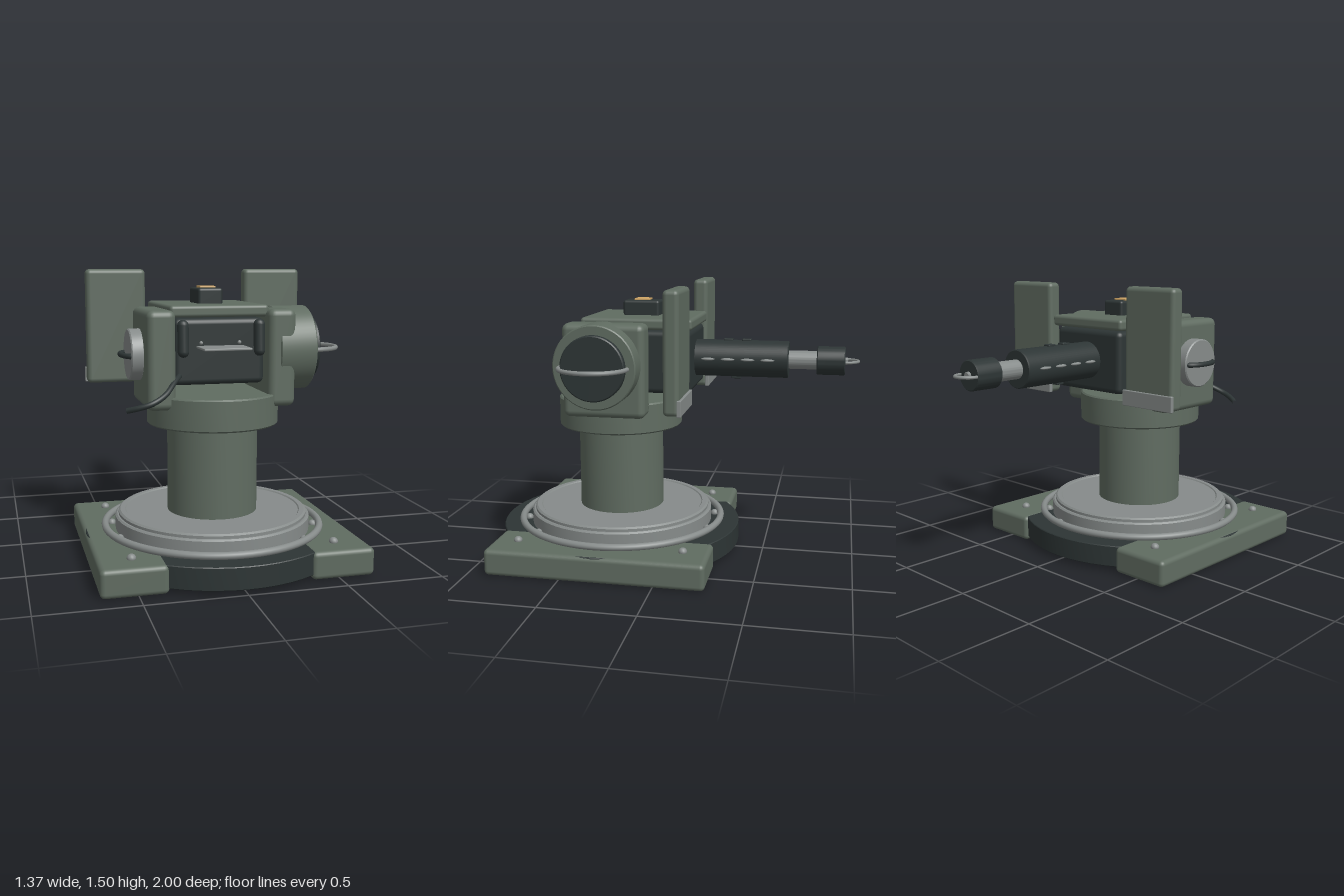
import * as THREE from 'three';
import { RoundedBoxGeometry } from 'three/addons/geometries/RoundedBoxGeometry.js';
import { toCreasedNormals } from 'three/addons/utils/BufferGeometryUtils.js';

const material = (name, color) => {
  const m = new THREE.MeshStandardMaterial({ color });
  m.name = name;
  return m;
};

export function createModel() {
  const model = new THREE.Group();
  model.name = 'turret';
  const green = material('olive green paint', 0x606c61);
  const dark = material('dark gunmetal', 0x2d3535);
  const grey = material('bare grey steel', 0x868b8a);
  const amber = material('amber lens', 0xcfa565);
  const CZ = 0.322; // turning axis
  const AY = 1.09; // barrel and trunnion height

  const add = (name, geo, mat, x = 0, y = 0, z = 0) => {
    const mesh = new THREE.Mesh(geo, mat);
    mesh.name = name;
    mesh.position.set(x, y, z);
    model.add(mesh);
    return mesh;
  };
  // Rounded box from its limits on each axis
  const box = (name, mat, [x0, x1], [y0, y1], [z0, z1], r = 0.02) =>
    add(name, new RoundedBoxGeometry(x1 - x0, y1 - y0, z1 - z0, 3, r), mat,
      (x0 + x1) / 2, (y0 + y1) / 2, (z0 + z1) / 2);
  // Turned part with small edge bevels, lying along its local y from a to b
  const turned = (r, a, b, bevel = 0.006) => toCreasedNormals(new THREE.LatheGeometry([
    [0, a], [r - bevel, a], [r, a + bevel], [r, b - bevel], [r - bevel, b], [0, b],
  ].map(p => new THREE.Vector2(...p)), 56), 0.6);
  const upright = (name, mat, r, y0, y1, bevel) => add(name, turned(r, y0, y1, bevel), mat, 0, 0, CZ);
  const alongX = (name, mat, r, x0, x1, z, y = AY) =>
    add(name, turned(r, x0, x1).rotateZ(-Math.PI / 2), mat, 0, y, z);
  const alongZ = (name, mat, r, z0, z1, bevel) =>
    add(name, turned(r, z0, z1, bevel).rotateX(Math.PI / 2), mat, 0, AY, 0);
  const tube = (name, mat, pts, r) => add(name, new THREE.TubeGeometry(
    new THREE.CatmullRomCurve3(pts.map(p => new THREE.Vector3(...p))), 40, r, 10), mat);
  // Points of a horizontal half ellipse bulging along x
  const bow = (x, y, z, rx, rz) => Array.from({ length: 13 }, (_, i) => {
    const a = Math.PI * (i / 12 - 0.5);
    return [x + rx * Math.cos(a), y, z + rz * Math.sin(a)];
  });

  // Base
  upright('basePlate', dark, 0.677, 0.025, 0.14, 0.004);
  for (const s of [-1, 1]) {
    const rail = box('baseRail', green, [0.355, 0.683], [0, 0.142], [-0.27, 0.905], 0.025);
    rail.position.x *= s;
    for (const z of [-0.13, 0.77])
      add('railBolt', new THREE.SphereGeometry(0.023, 16, 8).scale(1, 0.9, 1), grey, s * 0.515, 0.147, z);
  }
  add('baseRing', new THREE.TorusGeometry(0.572, 0.019, 12, 80).rotateX(Math.PI / 2), grey, 0, 0.161, CZ);
  add('bearingPlate', toCreasedNormals(new THREE.LatheGeometry([
    [0, 0.13], [0.517, 0.13], [0.517, 0.212], [0.508, 0.22], [0.5, 0.22], [0.5, 0.234],
    [0.49, 0.242], [0.465, 0.242], [0.46, 0.236], [0, 0.236],
  ].map(p => new THREE.Vector2(...p)), 72), 0.6), grey, 0, 0, CZ);
  for (let i = 0; i < 12; i++) {
    const a = (i + 0.5) * Math.PI / 6;
    add('ringBolt', new THREE.SphereGeometry(0.022, 12, 8), grey,
      0.54 * Math.cos(a), 0.145, CZ + 0.54 * Math.sin(a));
  }

  // Pedestal
  upright('column', green, 0.238, 0.2, 0.72);
  upright('collar', green, 0.345, 0.705, 0.87, 0.008);

  // Receiver, cover and cradle arms
  box('receiver', dark, [-0.238, 0.238], [0.92, 1.257], [-0.115, 0.47], 0.03);
  box('topCover', green, [-0.258, 0.258], [1.262, 1.322], [-0.128, 0.475], 0.018);
  for (const s of [-1, 1]) {
    const arm = box('cradleArm', green, [0.24, 0.385], [0.805, 1.302], [0.1, 0.543], 0.035);
    arm.position.x *= s;
    const grip = add('rearGrip', new THREE.CapsuleGeometry(0.029, 0.13, 6, 16), dark, s * 0.198, 1.16, 0.503);
    grip.rotation.x = -0.06;
    add('trayBolt', new THREE.SphereGeometry(0.01, 10, 8), grey, s * 0.1, 1.135, 0.48);
    // Shield with a lower steel lip
    const shield = box('shield', green, [0.283, 0.609], [0.877, 1.497], [-0.125, -0.043], 0.024);
    shield.position.x *= s;
    const lip = box('shieldLip', grey, [0.281, 0.614], [0.877, 0.96], [-0.137, -0.115], 0.004);
    lip.position.x *= s;
  }
  box('tray', grey, [-0.122, 0.122], [1.108, 1.12], [0.46, 0.635], 0.004);

  // Sight block
  box('sightBlock', dark, [-0.067, 0.067], [1.31, 1.402], [0.085, 0.287], 0.015);
  box('sightLens', amber, [-0.043, 0.043], [1.396, 1.411], [0.145, 0.228], 0.003);

  // Left drum with its carrying handle
  alongX('drum', green, 0.22, 0.3, 0.496, 0.337);
  alongX('drumCap', dark, 0.17, 0.49, 0.532, 0.337);
  tube('drumHandle', grey, bow(0.5, AY, 0.337, 0.168, 0.178), 0.012);

  // Right trunnion knob and cable
  alongX('trunnionCap', grey, 0.132, -0.447, -0.38, 0.317, 1.07);
  tube('trunnionHandle', dark, bow(-0.43, 1.07, 0.317, -0.052, 0.11), 0.014);
  tube('cable', dark, [[-0.2, 0.975, 0.45], [-0.25, 0.945, 0.53], [-0.31, 0.895, 0.6],
    [-0.38, 0.86, 0.63], [-0.44, 0.84, 0.615], [-0.495, 0.823, 0.58]], 0.014);

  // Barrel
  alongZ('barrelJacket', dark, 0.1, -0.62, -0.1, 0.005);
  alongZ('innerBarrel', grey, 0.05, -0.8, -0.6, 0.003);
  alongZ('muzzle', dark, 0.077, -0.92, -0.77, 0.005);
  alongZ('muzzlePin', grey, 0.02, -0.935, -0.91, 0.003);
  for (let i = 0; i < 4; i++) {
    for (const s of [-1, 1])
      add('jacketVent', new THREE.SphereGeometry(1, 16, 10).scale(0.03, 0.009, 0.042), grey,
        s * 0.087, AY + 0.005, -0.19 - i * 0.107);
  }
  for (const [y, z, l] of [[1.186, -0.29, 0.05], [1.186, -0.39, 0.05], [0.992, -0.335, 0.05]])
    box('jacketLug', dark, [-0.02, 0.02], [y - 0.012, y + 0.012], [z - l / 2, z + l / 2], 0.004);
  const loop = Array.from({ length: 13 }, (_, i) => {
    const a = Math.PI * i / 12;
    return [0.065 * Math.cos(a), AY, -0.91 - 0.08 * Math.sin(a)];
  });
  tube('muzzleLoop', grey, loop, 0.008);

  return model;
}
